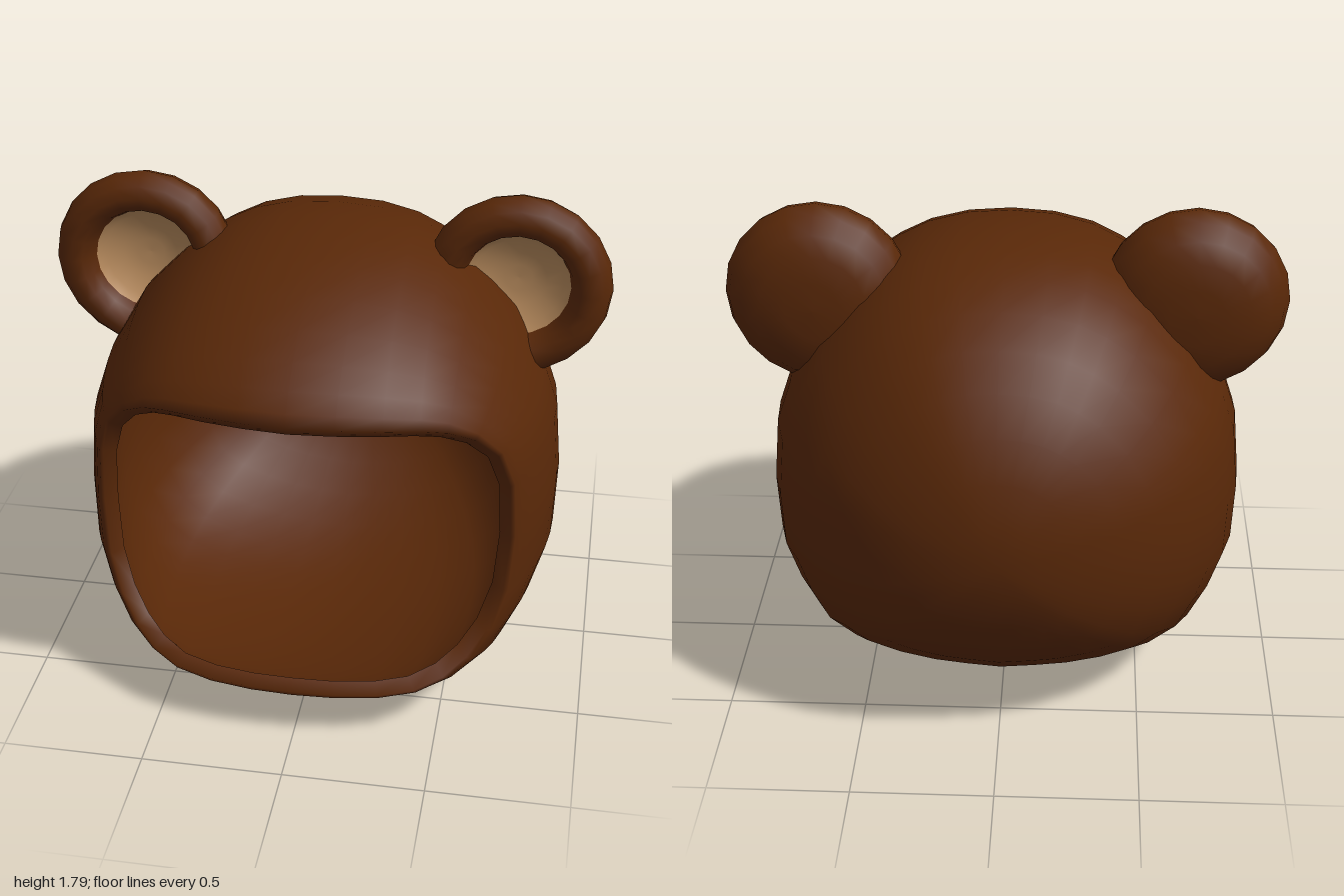
import * as THREE from 'three';
import { mergeVertices } from 'three/addons/utils/BufferGeometryUtils.js';

const brown = new THREE.MeshStandardMaterial({ color: 0x592808 });
brown.name = 'brown fur';
const tan = new THREE.MeshStandardMaterial({ color: 0xb98c5e });
tan.name = 'tan ear lining';

const MID = 0.83;

// Widest outline of the hood, from the crown round the left side to the base
const outline = [
  [0, 1.68], [0.16, 1.67], [0.3, 1.635], [0.41, 1.58], [0.52, 1.505], [0.67, 1.35], [0.78, 1.16],
  [0.835, 1.0], [0.857, 0.76], [0.85, 0.53], [0.8, 0.37], [0.73, 0.225], [0.62, 0.135], [0.47, 0.075],
  [0.31, 0.035], [0.16, 0.015], [0, 0],
];
// Inner edge of the face opening, matched point for point with the outline
const opening = [
  [0, 1.27, 0.82], [0.15, 1.268, 0.805], [0.29, 1.26, 0.77], [0.4, 1.245, 0.72], [0.48, 1.22, 0.67],
  [0.56, 1.17, 0.61], [0.63, 1.08, 0.54], [0.67, 0.95, 0.5], [0.68, 0.75, 0.485], [0.665, 0.55, 0.505],
  [0.62, 0.42, 0.55], [0.56, 0.335, 0.6], [0.49, 0.285, 0.655], [0.4, 0.258, 0.71], [0.28, 0.247, 0.745],
  [0.14, 0.245, 0.765], [0, 0.245, 0.77],
];

// Close a half outline by mirroring it in x
const mirrored = (half) => [
  ...half,
  ...half.slice(1, -1).reverse().map(([x, ...rest]) => [-x, ...rest]),
];

// Points from the back pole over the widest outline to the opening's edge
function meridian([cx, cy], [rx, ry, rz], inner) {
  const k = inner ? 0.92 : 1, poleY = inner ? 0.75 : MID;
  const x = cx * k, y = MID + (cy - MID) * k, back = -0.85 * k;
  const zc = 0.1 * Math.max(0, 1 - cy / MID);
  const edge = inner
    ? [rx, ry, rz]
    : [rx * 1.06, 0.77 + (ry - 0.77) * 1.075, rz + 0.03];
  const points = [];
  for (let j = 0; j <= 9; j++) {
    const a = (j / 9) * Math.PI / 2;
    points.push([x * Math.sin(a), poleY + (y - poleY) * Math.sin(a), zc - (zc - back) * Math.cos(a)]);
  }
  for (let j = 1; j <= 8; j++) {
    const b = (j / 8) * Math.PI / 2, u = Math.sin(b);
    const drop = 0.5 * (1 - Math.cos(b)) + 0.5 * u * u;
    points.push([x + (edge[0] - x) * drop, y + (edge[1] - y) * drop, zc + (edge[2] - zc) * u]);
  }
  return points;
}

// Hollow hood: outer skin, lip and lining in one smooth surface
function hoodGeometry() {
  const rims = mirrored(opening);
  const columns = mirrored(outline).map((c, i) => [
    ...meridian(c, rims[i], false),
    ...meridian(c, rims[i], true).reverse(),
  ]);
  const n = columns.length, rows = columns[0].length;
  const index = [];
  for (let i = 0; i < n; i++) {
    for (let j = 0; j < rows - 1; j++) {
      const a = i * rows + j, c = ((i + 1) % n) * rows + j;
      index.push(a, a + 1, c, c, a + 1, c + 1);
    }
  }
  const geometry = new THREE.BufferGeometry();
  geometry.setAttribute('position', new THREE.Float32BufferAttribute(columns.flat(2), 3));
  geometry.setIndex(index);
  const merged = mergeVertices(geometry, 1e-4);
  merged.computeVertexNormals();
  return merged;
}

// Turn a profile about z, place it, flare its root and keep that inside the hood's wall
function earGeometry(profile, side) {
  const geometry = new THREE.LatheGeometry(profile.map(([r, z]) => new THREE.Vector2(r, z)), 20);
  geometry.rotateX(Math.PI / 2).translate(0.667 * side, 1.455, 0);
  const p = geometry.attributes.position, v = new THREE.Vector3();
  for (let i = 0; i < p.count; i++) {
    v.fromBufferAttribute(p, i);
    v.y -= MID;
    const root = 1 - THREE.MathUtils.smoothstep(v.length(), 0.82, 0.96);
    v.z = -0.06 + (v.z + 0.06) * (1 + 0.2 * root);
    if (v.length() < 0.8) v.setLength(0.8);
    p.setXYZ(i, v.x, v.y + MID, v.z);
  }
  return geometry;
}

const earShell = [
  [0, -0.2], [0.1, -0.197], [0.19, -0.18], [0.26, -0.145], [0.31, -0.09], [0.333, -0.03],
  [0.325, 0.01], [0.3, 0.042], [0.26, 0.06], [0.225, 0.048], [0.2, 0.02], [0.187, -0.015],
];
const earDish = [[0.187, -0.015], [0.16, -0.04], [0.1, -0.065], [0.05, -0.073], [0, -0.075]];

export function createModel() {
  const model = new THREE.Group();
  model.name = 'bearHood';

  const add = (name, geometry, material, parent = model) => {
    const mesh = new THREE.Mesh(geometry, material);
    mesh.name = name;
    parent.add(mesh);
  };

  add('hood', hoodGeometry(), brown);

  // Ears
  for (const [name, side] of [['leftEar', 1], ['rightEar', -1]]) {
    const ear = new THREE.Group();
    ear.name = name;
    add('earShell', earGeometry(earShell, side), brown, ear);
    add('earLining', earGeometry(earDish, side), tan, ear);
    model.add(ear);
  }
  return model;
}
